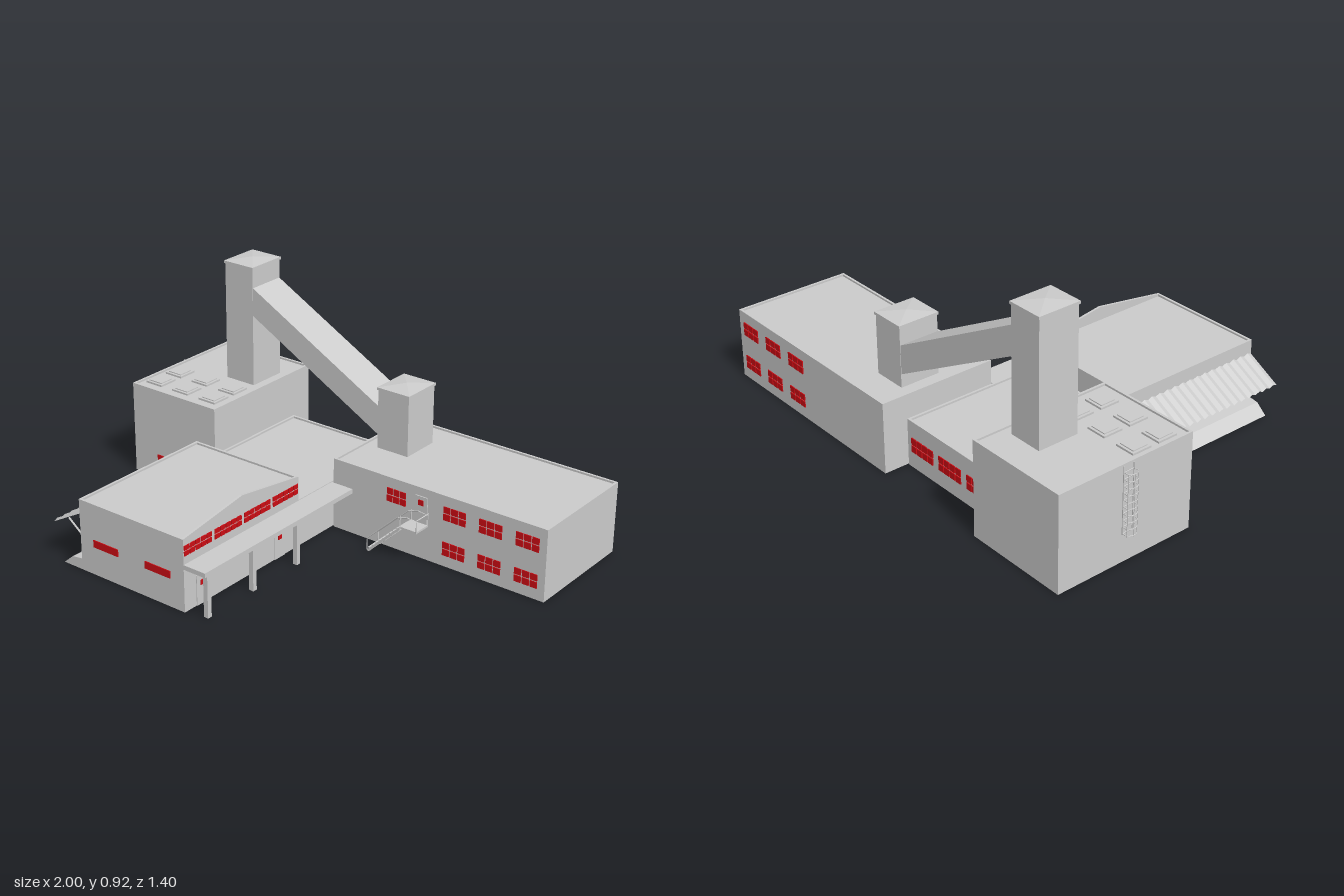
import * as THREE from 'three';

const grey = new THREE.MeshStandardMaterial({ color: 0xcccccc, flatShading: true });
const sheet = new THREE.MeshStandardMaterial({ color: 0xcccccc, flatShading: true, side: THREE.DoubleSide });
const red = new THREE.MeshStandardMaterial({ color: 0xcc0d14, flatShading: true });

function add(parent, name, geometry, material = grey) {
  const mesh = new THREE.Mesh(geometry, material);
  mesh.name = name;
  parent.add(mesh);
  return mesh;
}

// Box given by its minimum and maximum on each axis
function box(parent, name, x0, x1, y0, y1, z0, z1, material) {
  const mesh = add(parent, name, new THREE.BoxGeometry(x1 - x0, y1 - y0, z1 - z0), material);
  mesh.position.set((x0 + x1) / 2, (y0 + y1) / 2, (z0 + z1) / 2);
  return mesh;
}

function group(parent, name) {
  const g = new THREE.Group();
  g.name = name;
  parent.add(g);
  return g;
}

// Round bar through a list of points
function bar(parent, name, points, r = 0.003) {
  const path = new THREE.CurvePath();
  const v = points.map(p => new THREE.Vector3(...p));
  for (let i = 1; i < v.length; i++) path.add(new THREE.LineCurve3(v[i - 1], v[i]));
  return add(parent, name, new THREE.TubeGeometry(path, Math.max(1, (v.length - 1) * 2), r, 5));
}

// Profile in x and y, extruded from z0 to z1
function profile(parent, name, points, z0, z1) {
  const shape = new THREE.Shape(points.map(p => new THREE.Vector2(...p)));
  const mesh = add(parent, name, new THREE.ExtrudeGeometry(shape, { depth: z1 - z0, bevelEnabled: false }));
  mesh.position.z = z0;
  return mesh;
}

// Building without a floor: four walls with a low parapet round a flat roof
function building(parent, name, x0, x1, z0, z1, h) {
  const g = group(parent, name);
  const t = 0.01;
  box(g, 'backWall', x0, x1, 0, h, z0, z0 + t);
  box(g, 'frontWall', x0, x1, 0, h, z1 - t, z1);
  box(g, 'rightWall', x0, x0 + t, 0, h, z0 + t, z1 - t);
  box(g, 'leftWall', x1 - t, x1, 0, h, z0 + t, z1 - t);
  box(g, 'roof', x0 + t, x1 - t, h - 0.016, h - 0.008, z0 + t, z1 - t);
  return g;
}

// Grid of panes set through a wall; along is the wall's direction
function windowGrid(parent, along, a0, a1, y0, y1, cols, rows, wall) {
  const g = group(parent, 'window');
  const gap = 0.005, d = 0.009;
  const w = (a1 - a0 + gap) / cols, h = (y1 - y0 + gap) / rows;
  for (let i = 0; i < cols; i++) for (let j = 0; j < rows; j++) {
    const a = a0 + i * w, b = a + w - gap, y = y0 + j * h;
    if (along === 'x') box(g, 'pane', a, b, y, y + h - gap, wall - d, wall + d, red);
    else box(g, 'pane', wall - d, wall + d, y, y + h - gap, a, b, red);
  }
}

// Elevator shaft with a low pyramid cap
function shaft(parent, name, x0, x1, y0, y1) {
  const g = group(parent, name);
  const z0 = -0.567, z1 = -0.393, e = 0.004;
  box(g, 'shaft', x0, x1, y0, y1 - 0.012, z0, z1);
  box(g, 'capRim', x0 - e, x1 + e, y1 - 0.018, y1 - 0.007, z0 - e, z1 + e);
  const cone = new THREE.ConeGeometry(Math.SQRT1_2, 1, 4).rotateY(Math.PI / 4);
  const cap = add(g, 'cap', cone);
  cap.scale.set(x1 - x0 + 2 * e, 0.01, z1 - z0 + 2 * e);
  cap.position.set((x0 + x1) / 2, y1 - 0.002, (z0 + z1) / 2);
}

export function createModel() {
  const root = new THREE.Group();
  root.name = 'factory';

  // Main volumes
  const tower = building(root, 'towerBlock', -0.96, -0.51, -0.7, -0.085, 0.4);
  const office = building(root, 'officeBlock', 0.02, 1, -0.7, -0.19, 0.3);
  const link = building(root, 'linkBlock', -0.51, 0.015, -0.595, 0.025, 0.2);
  const hall = building(root, 'hall', -0.51, 0.015, 0.025, 0.69, 0.3);

  // Gable parapet above the side of the hall
  const gable = profile(hall, 'gable', [[-0.69, 0.295], [-0.025, 0.295], [-0.025, 0.3], [-0.36, 0.35], [-0.69, 0.3]], 0, 0.01);
  gable.rotation.y = Math.PI / 2;
  gable.position.set(0.005, 0, 0);

  // Windows of the office, front and back
  for (const z of [-0.195, -0.695]) {
    for (const x of [0.546, 0.707, 0.868]) for (const y of [0.048, 0.198])
      windowGrid(office, 'x', x, x + 0.1, y, y + 0.057, 3, 2, z);
  }
  windowGrid(office, 'x', 0.282, 0.37, 0.198, 0.255, 3, 2, -0.195);

  // Windows of the other blocks
  windowGrid(tower, 'x', -0.83, -0.686, 0.05, 0.107, 4, 2, -0.09);
  for (const x of [-0.47, -0.305, -0.14]) windowGrid(link, 'x', x, x + 0.13, 0.07, 0.13, 4, 2, -0.59);
  for (const x of [-0.44, -0.177]) windowGrid(hall, 'x', x, x + 0.126, 0.12, 0.15, 1, 1, 0.685);
  for (const z of [0.033, 0.201, 0.369, 0.537]) windowGrid(hall, 'z', z, z + 0.15, 0.232, 0.273, 5, 2, 0.01);

  // Side doors under the platform canopy
  for (const z of [0.145, 0.595]) {
    box(hall, 'sideDoor', 0.01, 0.018, 0, 0.125, z - 0.03, z + 0.03);
    windowGrid(hall, 'z', z - 0.01, z + 0.01, 0.08, 0.1, 1, 1, 0.012);
  }

  // Platform canopy on posts
  const canopy = group(root, 'platformCanopy');
  box(canopy, 'canopySlab', 0.015, 0.117, 0.178, 0.197, -0.185, 0.69);
  for (const z of [0.145, 0.405, 0.66]) {
    box(canopy, 'post', 0.09, 0.11, 0, 0.178, z - 0.01, z + 0.01);
    box(canopy, 'beam', 0.015, 0.11, 0.168, 0.178, z - 0.006, z + 0.006);
  }

  // Loading side: bay doors, dock, corrugated awning and its struts
  const dock = group(root, 'loadingDock');
  profile(dock, 'dock', [[-0.51, 0], [-0.51, 0.047], [-0.56, 0.04], [-0.607, 0]].reverse(), -0.085, 0.69);
  for (let i = 0; i < 4; i++) {
    const z = 0.06 + i * 0.158;
    box(dock, 'bayDoor', -0.515, -0.508, 0.047, 0.17, z, z + 0.12);
  }
  const awning = new THREE.PlaneGeometry(0.145, 0.672, 1, 34).rotateX(-Math.PI / 2);
  const p = awning.attributes.position;
  for (let i = 0; i < p.count; i++) {
    const wave = Math.floor(i / 2) % 2 ? 0.004 : -0.004;
    p.setY(i, 0.203 + p.getX(i) * 0.55 + wave);
  }
  add(dock, 'awning', awning, sheet).position.set(-0.582, 0, 0.354);
  for (let i = 0; i < 5; i++) {
    const z = 0.035 + i * 0.16;
    bar(dock, 'strut', [[-0.51, 0.135, z], [-0.585, 0.192, z]], 0.004);
  }
  box(dock, 'cornerPier', -0.525, -0.506, 0, 0.2, -0.085, 0.015);

  // Skylights on the tower roof
  for (const x of [-0.89, -0.745, -0.597]) for (const z of [-0.3, -0.18]) {
    const s = group(tower, 'skylight');
    box(s, 'frame', x - 0.043, x + 0.043, 0.39, 0.4, z - 0.043, z + 0.043);
    box(s, 'glazing', x - 0.033, x + 0.033, 0.4, 0.404, z - 0.033, z + 0.033);
  }

  // Caged ladder on the tower's side
  const ladder = group(tower, 'ladder');
  for (const z of [-0.415, -0.368]) {
    bar(ladder, 'rail', [[-0.967, 0.12, z], [-0.967, 0.41, z], [-0.945, 0.41, z], [-0.945, 0.39, z]]);
    bar(ladder, 'cageBar', [[-0.99, 0.12, z], [-0.99, 0.375, z]], 0.002);
  }
  bar(ladder, 'cageBar', [[-0.998, 0.12, -0.392], [-0.998, 0.375, -0.392]], 0.002);
  for (let i = 0; i < 10; i++) {
    const y = 0.125 + i * 0.0275;
    bar(ladder, 'rung', [[-0.967, y, -0.415], [-0.967, y, -0.368]], 0.002);
    bar(ladder, 'hoop', [[-0.965, y, -0.415], [-0.99, y, -0.415], [-0.998, y, -0.402],
      [-0.998, y, -0.381], [-0.99, y, -0.368], [-0.965, y, -0.368]], 0.002);
  }

  // Elevator shafts and the sloping conveyor between them
  shaft(root, 'tallShaft', -0.705, -0.56, 0.385, 0.917);
  shaft(root, 'shortShaft', 0.083, 0.23, 0.285, 0.56);
  profile(root, 'conveyor', [[-0.565, 0.702], [0.09, 0.345], [0.09, 0.467], [-0.565, 0.823]], -0.565, -0.395);

  // Outside stair: treads, stringers, landing, rails and upper door
  const stair = group(root, 'outsideStair');
  const z0 = -0.19, z1 = -0.112, steps = 9;
  for (let i = 0; i < steps; i++) {
    const x = 0.25 + i * 0.0165, y = 0.012 + i * 0.0155;
    box(stair, 'tread', x, x + 0.018, y, y + 0.004, z0, z1);
  }
  box(stair, 'landing', 0.397, 0.476, 0.144, 0.152, z0, z1);
  for (const z of [z0 + 0.004, z1]) {
    profile(stair, 'stringer', [[0.243, 0], [0.258, 0], [0.4, 0.139], [0.4, 0.152]], z - 0.002, z + 0.002);
    bar(stair, 'handrail', [[0.246, 0.005, z], [0.246, 0.053, z], [0.4, 0.2, z], [0.476, 0.2, z], [0.476, 0.148, z]], 0.0025);
    bar(stair, 'railPost', [[0.4, 0.148, z], [0.4, 0.2, z]], 0.0025);
  }
  bar(stair, 'endRail', [[0.476, 0.2, z0], [0.476, 0.2, z1]], 0.0025);
  box(stair, 'door', 0.415, 0.472, 0.15, 0.265, -0.194, -0.186);
  windowGrid(stair, 'x', 0.432, 0.455, 0.228, 0.25, 1, 1, -0.192);

  return root;
}
